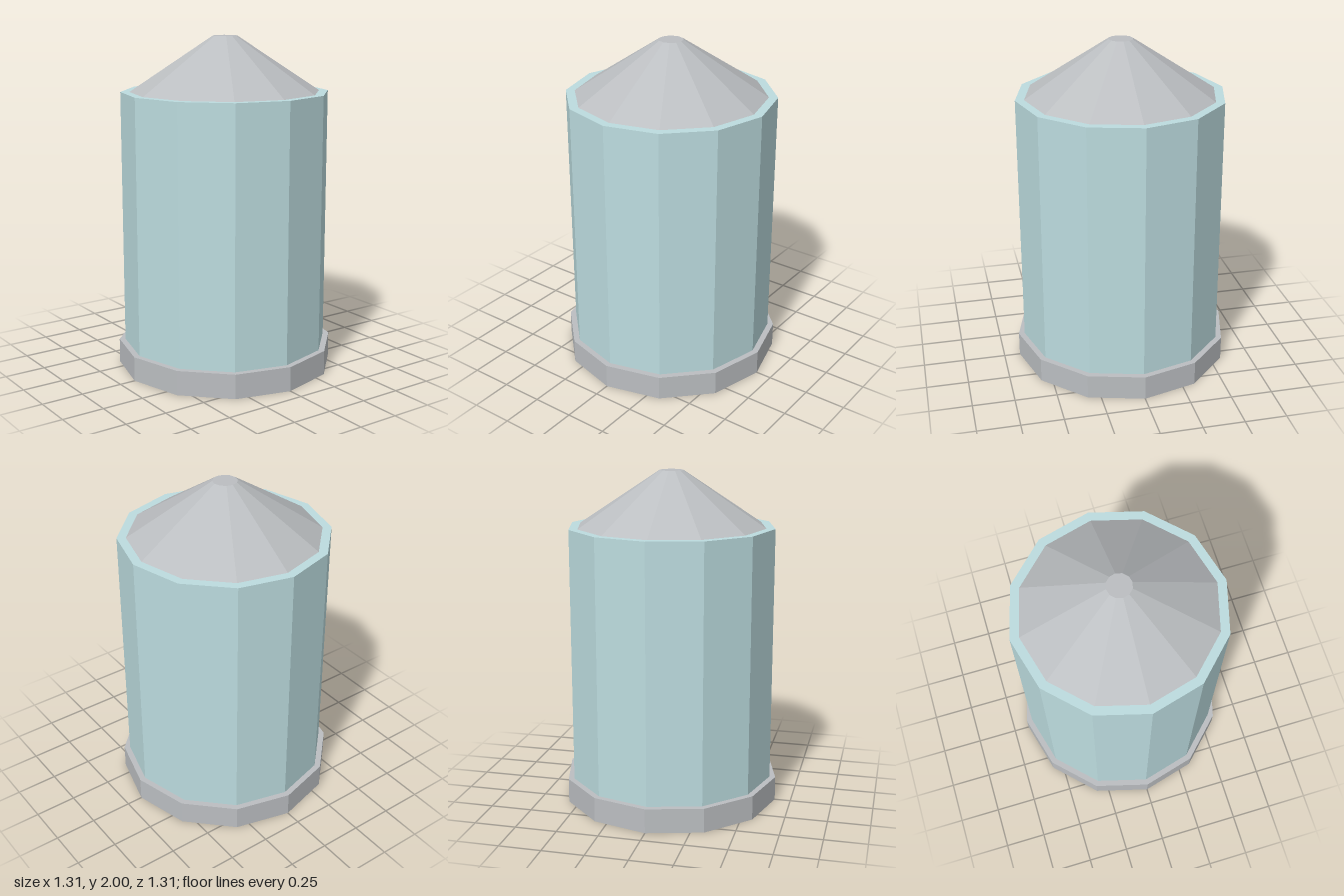
import * as THREE from 'three';

export function createModel() {
  const group = new THREE.Group();
  group.name = 'silo';

  const grey = new THREE.MeshStandardMaterial({ color: 0xbbbec1, flatShading: true });
  grey.name = 'light grey';
  const teal = new THREE.MeshStandardMaterial({ color: 0xbcdcdf, flatShading: true });
  teal.name = 'pale teal';

  // twelve-sided drum between two heights, with corners on the x and z axes
  const drum = (name, material, rBottom, rTop, y0, y1) => {
    const geometry = new THREE.CylinderGeometry(rTop, rBottom, y1 - y0, 12);
    const mesh = new THREE.Mesh(geometry, material);
    mesh.name = name;
    mesh.position.y = (y0 + y1) / 2;
    group.add(mesh);
  };

  drum('base', grey, 0.654, 0.654, 0, 0.147);
  drum('body', teal, 0.618, 0.618, 0.147, 1.674);
  // roof: truncated cone set in from the body's rim
  drum('roof', grey, 0.565, 0.072, 1.674, 2);

  return group;
}
